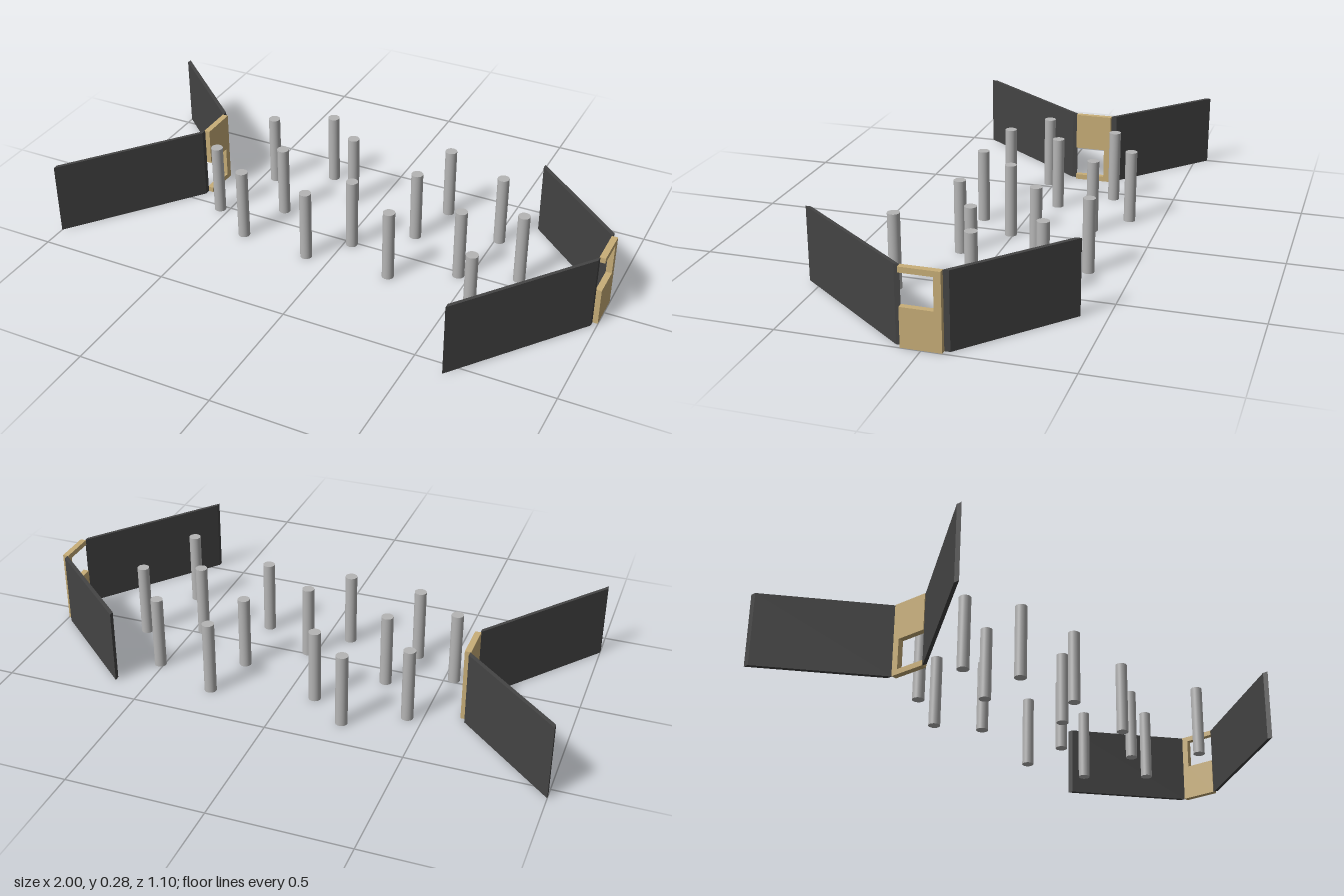
import * as THREE from 'three';

const HEIGHT = 0.275;
const darkWall = new THREE.MeshStandardMaterial({ name: 'dark wall', color: 0x444444 });
const tan = new THREE.MeshStandardMaterial({ name: 'tan frame', color: 0xc8ae78 });
const grey = new THREE.MeshStandardMaterial({ name: 'grey pillar', color: 0xb5b5b5 });

// Upright slab from a plan outline of [x, z] corners
function makeWing(name, corners) {
  const shape = new THREE.Shape(corners.map(([x, z]) => new THREE.Vector2(x, -z)));
  const geo = new THREE.ExtrudeGeometry(shape, { depth: HEIGHT, bevelEnabled: false });
  geo.rotateX(-Math.PI / 2);
  const mesh = new THREE.Mesh(geo, darkWall);
  mesh.name = name;
  return mesh;
}

// Gate plate with a notch that is open on the +z edge
function makeGate(flipped) {
  const outline = [
    [-0.07, 0], [0.07, 0], [0.07, 0.14], [-0.045, 0.14],
    [-0.045, 0.255], [0.07, 0.255], [0.07, HEIGHT], [-0.07, HEIGHT],
  ];
  const shape = new THREE.Shape(
    outline.map(([z, y]) => new THREE.Vector2(-z, flipped ? HEIGHT - y : y)));
  const geo = new THREE.ExtrudeGeometry(shape, { depth: 0.022, bevelEnabled: false });
  geo.rotateY(Math.PI / 2);
  geo.translate(0.977, 0, 0);
  const mesh = new THREE.Mesh(geo, tan);
  mesh.name = 'gate';
  return mesh;
}

// Two swept wings meeting at a gate
function makeBarrier(name, flipped) {
  const group = new THREE.Group();
  group.name = name;
  group.add(
    makeWing('frontWing', [[0.98, 0.07], [0.98, 0.09], [0.62, 0.55], [0.62, 0.53]]),
    makeWing('backWing', [[0.98, -0.07], [0.98, -0.09], [0.62, -0.41], [0.62, -0.39]]),
    makeGate(flipped));
  return group;
}

export function createModel() {
  const model = new THREE.Group();
  model.name = 'pillarField';

  const leftBarrier = makeBarrier('leftBarrier', false);
  const rightBarrier = makeBarrier('rightBarrier', true);
  rightBarrier.position.set(-1.62, 0, -0.14);
  model.add(leftBarrier, rightBarrier);

  // Scattered round pillars
  const spots = [
    [-0.535, 0.018], [-0.445, -0.27], [-0.365, 0.13], [-0.305, -0.08], [-0.24, -0.38],
    [-0.1, -0.268], [-0.09, 0.153], [0.028, 0.01], [0.22, -0.142], [0.233, 0.135],
    [0.27, -0.347], [0.46, 0.018], [0.515, -0.252], [0.59, 0.245], [0.667, -0.053],
  ];
  const pillarGeo = new THREE.CylinderGeometry(0.022, 0.022, HEIGHT, 32);
  spots.forEach(([x, z], i) => {
    const pillar = new THREE.Mesh(pillarGeo, grey);
    pillar.name = `pillar${i + 1}`;
    pillar.position.set(x, HEIGHT / 2, z);
    model.add(pillar);
  });
  return model;
}
